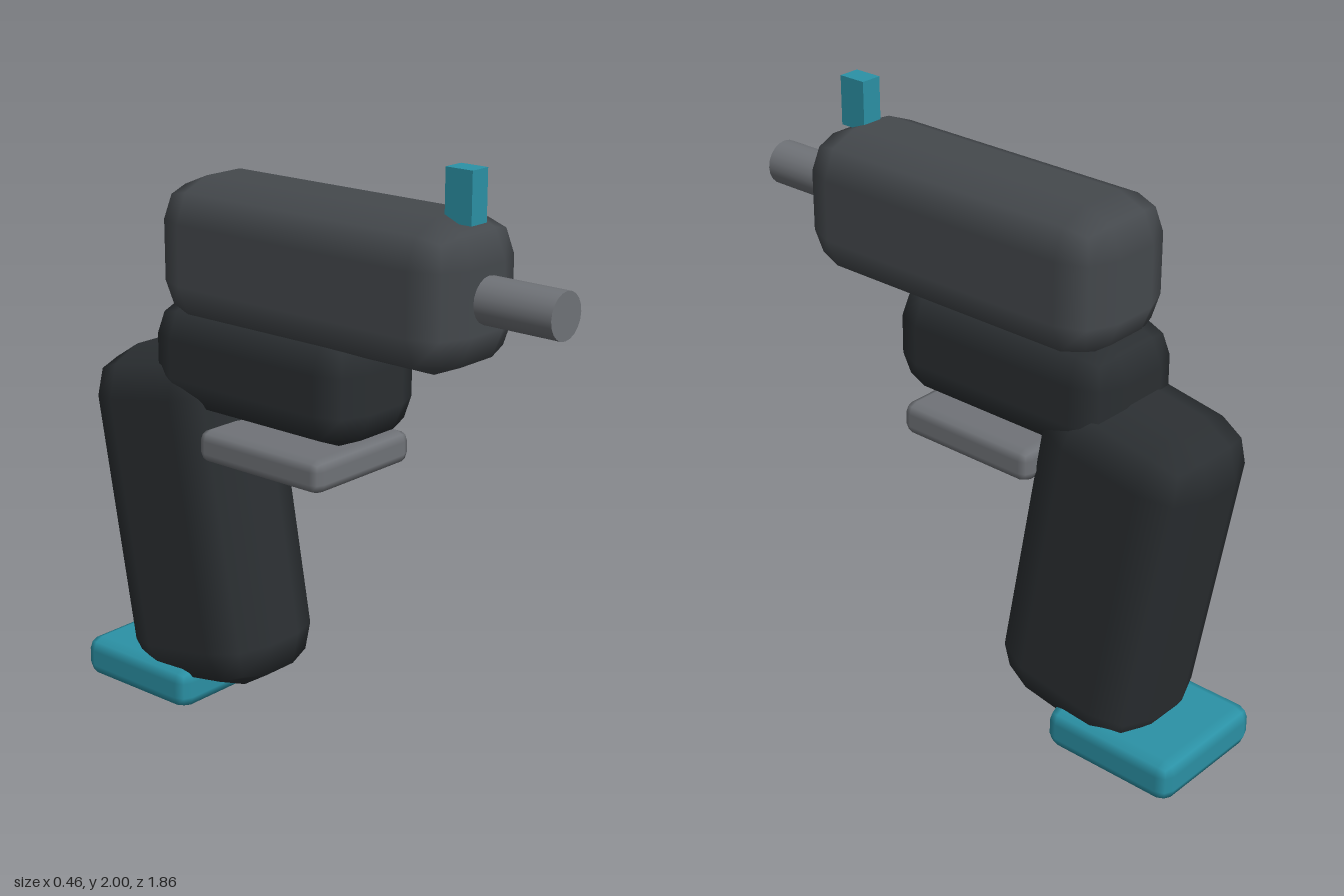
import * as THREE from 'three';
import { RoundedBoxGeometry } from 'three/addons/geometries/RoundedBoxGeometry.js';

const material = (color) => new THREE.MeshStandardMaterial({ color });

export function createModel() {
  const model = new THREE.Group();
  const shell = material(0x45494d);
  const dark = material(0x2b2f32);
  const steel = material(0x707378);
  const teal = material(0x2b92a6);

  const add = (name, geometry, mat, y, z) => {
    const mesh = new THREE.Mesh(geometry, mat);
    mesh.name = name;
    mesh.position.set(0, y, z);
    model.add(mesh);
    return mesh;
  };

  // Box with coarse one-step rounded edges
  const block = (w, h, d, r) => new RoundedBoxGeometry(w, h, d, 1, r);

  // Upper housing and the lower frame beneath it
  add('housing', block(0.435, 0.483, 1.223, 0.14), shell, 1.615, 0.041);
  add('lowerFrame', block(0.417, 0.387, 0.881, 0.128), dark, 1.258, -0.175);

  // Handle raked backwards at the top
  const handle = add('handle', block(0.454, 1.2, 0.603, 0.16), dark, 0.659, -0.545);
  handle.rotation.x = -THREE.MathUtils.degToRad(10);

  // Base plate under the handle
  add('basePlate', block(0.464, 0.144, 0.498, 0.045), teal, 0.07, -0.684);

  // Flat guard in front of the handle
  add('guardPlate', block(0.464, 0.112, 0.528, 0.035), steel, 0.995, -0.083);

  // Barrel along z
  const barrel = add('barrel', new THREE.CylinderGeometry(0.075, 0.075, 0.43, 20), steel, 1.614, 0.715);
  barrel.rotation.x = Math.PI / 2;

  // Front sight on top
  add('frontSight', new THREE.BoxGeometry(0.074, 0.165, 0.1), teal, 1.9175, 0.56);

  return model;
}
